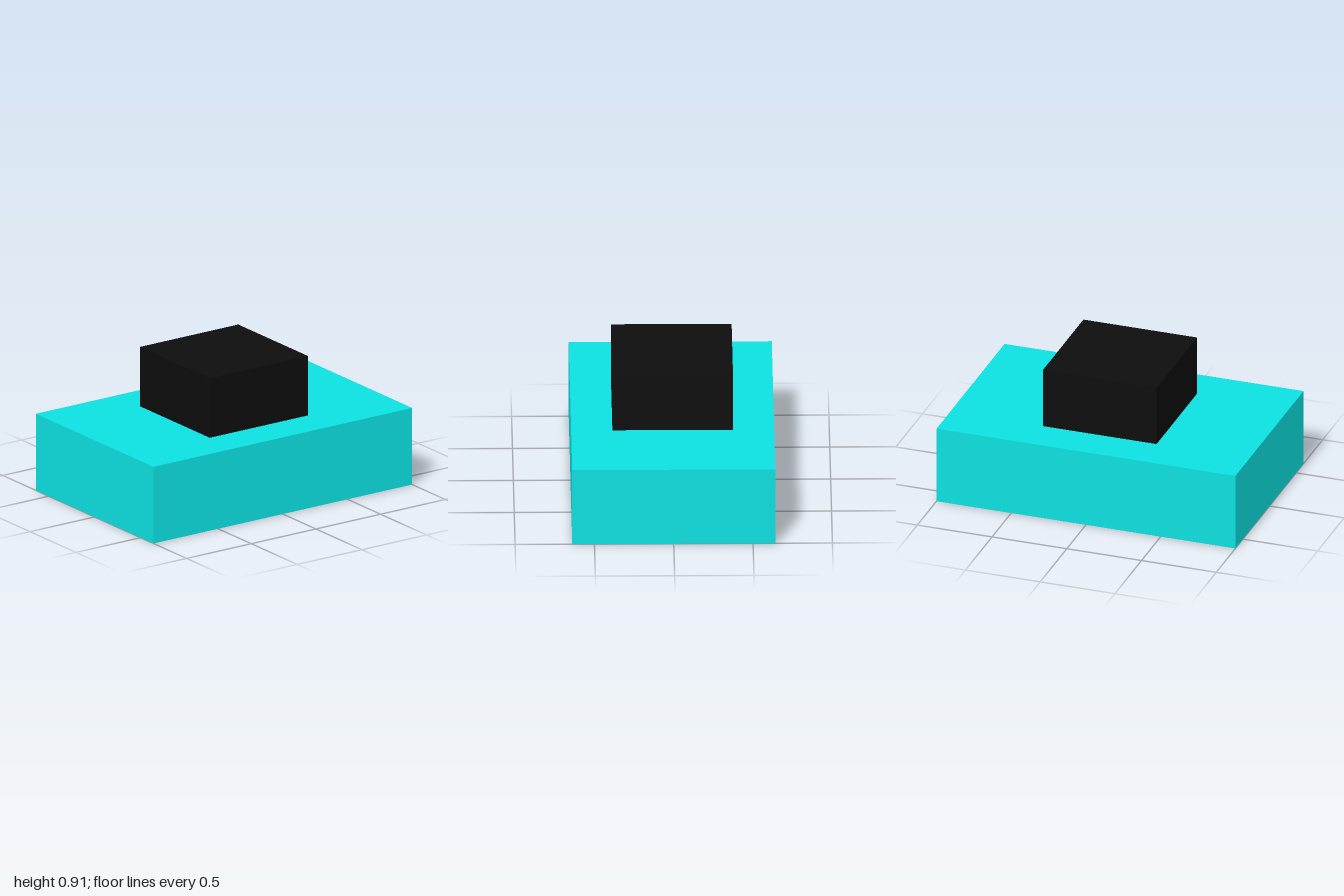
import * as THREE from 'three';

// Adds a named box whose underside sits at height y
function addBox(group, name, [w, h, d], y, color) {
  const mesh = new THREE.Mesh(
    new THREE.BoxGeometry(w, h, d),
    new THREE.MeshStandardMaterial({ color })
  );
  mesh.name = name;
  mesh.position.y = y + h / 2;
  group.add(mesh);
}

export function createModel() {
  const group = new THREE.Group();
  group.name = 'blockOnBase';

  // Wide rectangular base
  addBox(group, 'base', [2, 0.51, 1.28], 0, 0x0de0e0);
  // Square block centred on the base
  addBox(group, 'topBlock', [0.76, 0.395, 0.76], 0.51, 0x0d0d0d);

  return group;
}
